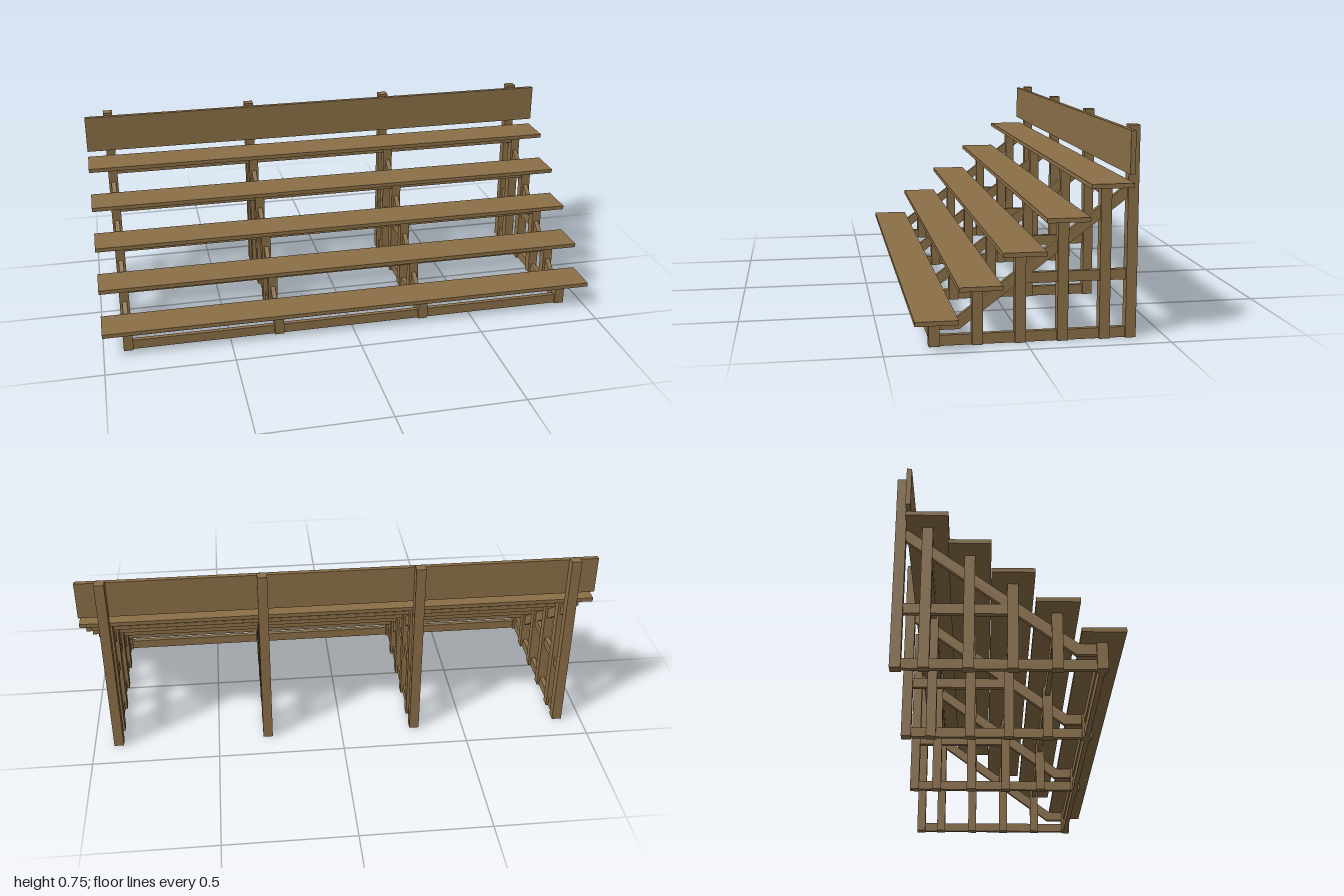
import * as THREE from 'three';

export function createModel() {
  const wood = new THREE.MeshStandardMaterial({ color: 0x8b6f47 });
  wood.name = 'wood';
  const model = new THREE.Group();
  model.name = 'bleachers';

  const POST = 0.038, RAIL = 0.019, ROWS = 5;
  const STEP = 0.15, RISE = 0.1125;
  const frameX = [-0.903, -0.301, 0.301, 0.903];

  // box given by its limits on each axis
  function board(parent, name, x0, x1, y0, y1, z0, z1) {
    const mesh = new THREE.Mesh(new THREE.BoxGeometry(x1 - x0, y1 - y0, z1 - z0), wood);
    mesh.position.set((x0 + x1) / 2, (y0 + y1) / 2, (z0 + z1) / 2);
    mesh.name = name;
    parent.add(mesh);
  }

  // sloped brace profile, drawn with -z as the shape's x
  const profile = new THREE.Shape([
    [-0.301, 0.057], [-0.232, 0.057], [0.356, 0.498],
    [0.356, 0.546], [-0.244, 0.097], [-0.301, 0.097],
  ].map(([x, y]) => new THREE.Vector2(x, y)));
  const braceGeometry = new THREE.ExtrudeGeometry(profile, { depth: RAIL, bevelEnabled: false });
  braceGeometry.translate(0, 0, -RAIL / 2);
  braceGeometry.rotateY(Math.PI / 2);

  // support frames
  for (const x of frameX) {
    const frame = new THREE.Group();
    frame.name = 'supportFrame';
    frame.position.x = x;
    const p = POST / 2, r = RAIL / 2;
    for (let i = 0; i < ROWS; i++) {
      const z = 0.32 - i * STEP;
      board(frame, 'seatPost', -p, p, 0, 0.097 + i * RISE, z - p, z + p);
    }
    board(frame, 'backPost', -p, p, 0, 0.752, -0.394, -0.356);
    board(frame, 'groundRail', -r, r, 0, 0.038, -0.356, 0.301);
    board(frame, 'middleRail', -r, r, 0.209, 0.247, -0.356, 0.001);
    const brace = new THREE.Mesh(braceGeometry, wood);
    brace.name = 'slopedBrace';
    frame.add(brace);
    model.add(frame);
  }

  // seats, with rails between neighbouring frames
  for (let i = 0; i < ROWS; i++) {
    const z = 0.32 - i * STEP, y = 0.097 + i * RISE;
    board(model, 'seat', -1, 1, y, y + 0.016, z - 0.075, z + 0.075);
    for (let k = 0; k < 3; k++) {
      const x0 = frameX[k] + POST / 2, x1 = frameX[k + 1] - POST / 2;
      board(model, 'seatRail', x0, x1, y - 0.038, y, z - RAIL / 2, z + RAIL / 2);
      if (i === 0) board(model, 'frontGroundRail', x0, x1, 0, 0.038, z - RAIL / 2, z + RAIL / 2);
    }
  }

  // back board
  board(model, 'backBoard', -1, 1, 0.592, 0.742, -0.356, -0.338);
  return model;
}
